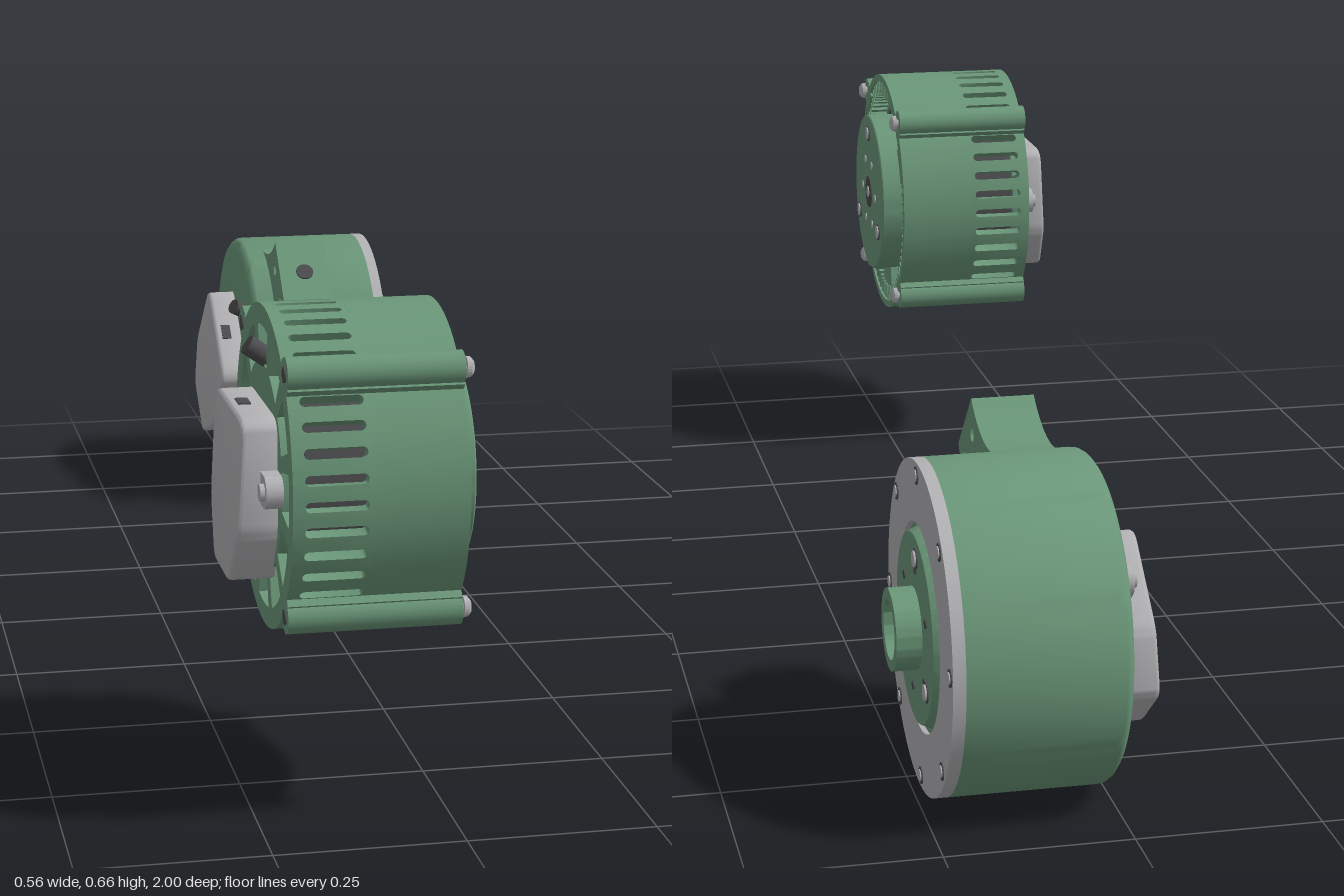
import * as THREE from 'three';
import { mergeGeometries, toCreasedNormals } from 'three/addons/utils/BufferGeometryUtils.js';

const mat = (name, color) => Object.assign(new THREE.MeshStandardMaterial({ color }), { name });
const rad = THREE.MathUtils.degToRad;

export function createModel() {
  const green = mat('greenMetal', 0x6a9678);
  const grey = mat('lightGrey', 0xb2b2b5);
  const dark = mat('darkGrey', 0x4c4c4e);

  // Each motor is built with its axis along local z, which becomes world x
  const motor = (name, y, z) => {
    const g = new THREE.Group();
    g.name = name;
    g.rotation.y = Math.PI / 2;
    g.position.set(0, y, z);
    return g;
  };
  const add = (parent, name, geo, material, x = 0, y = 0, z = 0) => {
    const m = new THREE.Mesh(geo, material);
    m.name = name;
    m.position.set(x, y, z);
    parent.add(m);
    return m;
  };
  const lathe = (pts, n = 96) => toCreasedNormals(
    new THREE.LatheGeometry(pts.map(p => new THREE.Vector2(...p)), n).rotateX(Math.PI / 2), 0.6);
  const ring = (ro, ri, z0, z1) => lathe([[ri, z0], [ro, z0], [ro, z1], [ri, z1], [ri, z0]]);
  const disc = (r, z0, z1, n = 20) =>
    new THREE.CylinderGeometry(r, r, z1 - z0, n).rotateX(Math.PI / 2).translate(0, 0, (z0 + z1) / 2);
  const around = (n, r, start, fn) => {
    for (let i = 0; i < n; i++) {
      const a = rad(start) + (i * 2 * Math.PI) / n;
      fn(r * Math.cos(a), r * Math.sin(a), a);
    }
  };
  const sector = (r0, r1, a0, a1, Kind = THREE.Shape) => {
    const s = new Kind();
    s.absarc(0, 0, r1, a0, a1, false);
    s.absarc(0, 0, r0, a1, a0, true);
    s.closePath();
    return s;
  };
  const extrude = (shape, z0, z1, curveSegments = 12) =>
    new THREE.ExtrudeGeometry(shape, { depth: z1 - z0, bevelEnabled: false, curveSegments }).translate(0, 0, z0);

  // Rear electronics box, mounted on the plane z = 0 and pointing to -z
  const rearBox = (parent, z, turn) => {
    const g = new THREE.Group();
    g.name = 'rearBox';
    g.position.z = z;
    g.rotation.z = turn;
    parent.add(g);
    const pts = [[-0.1, 0.08], [-0.1, -0.06], [-0.055, -0.132], [0.055, -0.132], [0.1, -0.06], [0.1, 0.08]];
    const s = new THREE.Shape();
    pts.forEach(([x, y], i) => {
      const [px, py] = pts[(i + 5) % 6], [nx, ny] = pts[(i + 1) % 6];
      const mix = (a, b, t) => a + (b - a) * t;
      s[i ? 'lineTo' : 'moveTo'](mix(x, px, 0.14), mix(y, py, 0.14));
      s.quadraticCurveTo(x, y, mix(x, nx, 0.14), mix(y, ny, 0.14));
    });
    const geo = new THREE.ExtrudeGeometry(s, {
      depth: 0.044, bevelThickness: 0.006, bevelSize: 0.005, bevelSegments: 3, curveSegments: 5
    }).translate(0, 0, -0.044);
    // The cover grows slightly thicker toward its lower end
    const p = geo.attributes.position;
    for (let i = 0; i < p.count; i++)
      if (p.getZ(i) < -0.03) p.setZ(i, p.getZ(i) - 0.005 * (0.5 - p.getY(i) / 0.1) + 0.003);
    geo.computeVertexNormals();
    add(g, 'boxCover', toCreasedNormals(geo, 0.6), grey);
    for (const side of [-1, 1]) {
      add(g, 'boxLug', new THREE.BoxGeometry(0.035, 0.042, 0.022), grey, side * 0.112, 0, -0.011);
      add(g, 'boxLugEnd', disc(0.021, -0.022, 0), grey, side * 0.129, 0);
      add(g, 'lugScrew', disc(0.011, -0.028, -0.022), grey, side * 0.129, 0);
    }
    const plug = add(g, 'cablePlug', new THREE.CylinderGeometry(0.013, 0.013, 0.035, 16), dark, 0, 0.15, -0.006);
    plug.rotation.x = rad(-55);
    add(g, 'coverPort', new THREE.BoxGeometry(0.03, 0.004, 0.016), dark, 0, 0.085, -0.026);
  };

  // ---------- Slotted motor ----------
  const a = motor('slottedMotor', 0.449, 0.788);
  const R = 0.21, wall = 0.02, backZ = -0.223, midZ = -0.12;

  // Rear of the shell: one slotted wall segment every 9 degrees, bent round the axis
  const half = (R * Math.PI) / 40;
  const segment = (phi, slotted) => {
    const s = new THREE.Shape([[-half, backZ], [0, backZ], [half, backZ], [half, midZ], [0, midZ], [-half, midZ]]
      .map(q => new THREE.Vector2(...q)));
    if (slotted) {
      const w = 0.0065, h = new THREE.Path();
      h.absarc(0, -0.134, w, 0, Math.PI, false);
      h.absarc(0, -0.201, w, Math.PI, 2 * Math.PI, false);
      h.closePath();
      s.holes.push(h);
    }
    const geo = extrude(s, 0, wall, 5), p = geo.attributes.position;
    for (let i = 0; i < p.count; i++) {
      const t = phi + p.getX(i) / R, r = R - wall + p.getZ(i);
      p.setXYZ(i, r * Math.cos(t), r * Math.sin(t), p.getY(i));
    }
    return geo;
  };
  const segments = [];
  for (let i = 0; i < 40; i++) segments.push(segment(rad(i * 9), i % 10 !== 5));
  add(a, 'slottedShell', toCreasedNormals(mergeGeometries(segments), 0.6), green);
  add(a, 'frontShell', ring(R, R - 0.012, midZ, 0), green);

  // Back plate with vent openings
  const plate = new THREE.Shape();
  plate.absarc(0, 0, R - 0.004, 0, Math.PI * 2, false);
  around(12, 1, 0, (x, y, t) => plate.holes.push(sector(0.135, 0.183, t - 0.19, t + 0.19, THREE.Path)));
  add(a, 'backPlate', extrude(plate, backZ, backZ + 0.012, 32), green);
  add(a, 'windings', disc(0.172, -0.2, -0.035, 64), dark);

  // Corner bosses with screws
  around(4, 0.219, 45, (x, y, t) => {
    add(a, 'cornerBoss', disc(0.022, backZ, 0, 28), green, x, y);
    const web = add(a, 'bossWeb', new THREE.BoxGeometry(0.03, 0.05, 0.2225), green,
      x * 0.93, y * 0.93, backZ / 2);
    web.rotation.z = t;
    add(a, 'bossScrew', disc(0.007, 0, 0.006), grey, x, y);
    add(a, 'bossScrewHead', lathe([[0, 0.004], [0.014, 0.004], [0.013, 0.01], [0.008, 0.014], [0, 0.015]], 20), grey, x, y);
    add(a, 'bossHole', disc(0.01, backZ - 0.002, backZ), dark, x, y);
  });

  // Front cooling fins, spokes and output disc
  around(72, 0.186, 0, (x, y, t) => {
    add(a, 'coolingFin', new THREE.BoxGeometry(0.026, 0.006, 0.03), green, x, y, -0.018).rotation.z = t;
  });
  add(a, 'finRing', ring(0.199, 0.17, -0.06, -0.032), green);
  around(3, 1, 30, (x, y, t) =>
    add(a, 'frontSpoke', extrude(sector(0.12, 0.176, t - 0.22, t + 0.22), -0.034, -0.008), green));
  add(a, 'outputDisc', lathe([[0, -0.04], [0.138, -0.04], [0.138, 0.023], [0.136, 0.025], [0, 0.025]]), green);
  around(3, 0.107, 90, (x, y) => {
    add(a, 'discScrew', disc(0.014, 0.025, 0.027), dark, x, y);
    add(a, 'discScrewHead', disc(0.011, 0.025, 0.029), grey, x, y);
  });
  around(6, 0.062, 0, (x, y) => add(a, 'discHole', disc(0.007, 0.025, 0.0265), grey, x, y));
  add(a, 'hubHole', disc(0.028, 0.025, 0.0265, 32), dark);
  add(a, 'hubPin', disc(0.01, 0.025, 0.028), grey);
  rearBox(a, backZ, 0);

  // ---------- Closed motor ----------
  const b = motor('closedMotor', 0.2245, -0.777);
  add(b, 'body', lathe([[0, 0], [0.203, 0], [0.211, 0.002], [0.218, 0.007], [0.222, 0.013],
    [0.223, 0.02], [0.223, 0.22], [0, 0.22]]), green);
  add(b, 'coverRing', ring(0.223, 0.14, 0.22, 0.237), grey);
  around(8, 0.206, 93, (x, y) => {
    add(b, 'coverScrewHole', disc(0.012, 0.237, 0.2385), dark, x, y);
    add(b, 'coverScrew', disc(0.008, 0.237, 0.24), grey, x, y);
  });

  // Output hub
  add(b, 'outputHub', lathe([[0, 0.215], [0.14, 0.215], [0.14, 0.23], [0.133, 0.23], [0.127, 0.243], [0, 0.243]]), green);
  add(b, 'hubTube', ring(0.055, 0.04, 0.24, 0.277), green);
  around(3, 0.1, 84, (x, y) => {
    add(b, 'hubScrewHole', disc(0.014, 0.243, 0.2445), dark, x, y);
    add(b, 'hubScrew', disc(0.011, 0.243, 0.247), grey, x, y);
  });
  around(6, 0.085, 24, (x, y) => add(b, 'hubHole', disc(0.006, 0.243, 0.2445), dark, x, y));

  // Side bracket flaring into the body
  const br = new THREE.Shape();
  br.moveTo(-0.186, 0.251);
  br.lineTo(-0.272, 0.16);
  br.quadraticCurveTo(-0.225, 0.115, -0.218, 0.045);
  br.lineTo(-0.12, 0.1);
  br.lineTo(-0.04, 0.218);
  br.quadraticCurveTo(-0.12, 0.2, -0.186, 0.251);
  for (const [x, y] of [[-0.18, 0.203], [-0.229, 0.155]]) {
    const h = new THREE.Path();
    h.absarc(x, y, 0.011, 0, Math.PI * 2, true);
    br.holes.push(h);
  }
  add(b, 'sideBracket', toCreasedNormals(extrude(br, 0.041, 0.128), 0.5), green);
  const bore = add(b, 'bracketBore', new THREE.CylinderGeometry(0.015, 0.015, 0.004, 24), dark, -0.229, 0.2055, 0.085);
  bore.rotation.z = Math.atan2(0.086, 0.091) ;

  // Cable outlet in the back
  add(b, 'cableOutlet', disc(0.024, -0.002, 0, 24), dark, 0.06, -0.155);
  add(b, 'cablePin', disc(0.01, -0.006, 0), grey, 0.06, -0.155);
  rearBox(b, 0, rad(40));

  const model = new THREE.Group();
  model.name = 'motorPair';
  model.add(a, b);
  return model;
}
